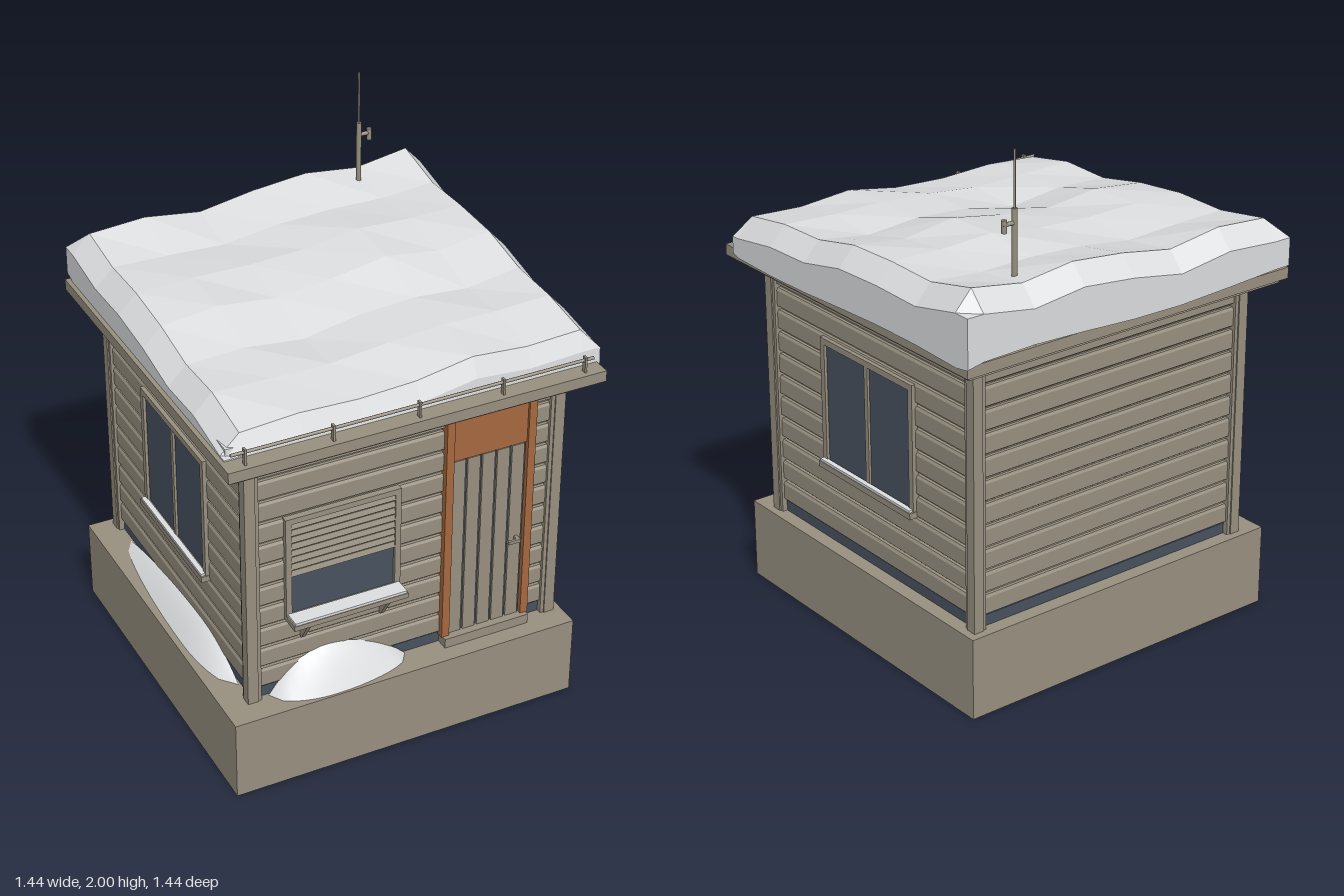
import * as THREE from 'three';

const mat = (name, color) => Object.assign(new THREE.MeshStandardMaterial({ color }), { name });

export function createModel() {
  const timber = mat('weathered timber', 0x989080);
  const orange = mat('orange paint', 0xa5683f);
  const dark = mat('dark glass', 0x485260);
  const snow = mat('snow', 0xdcdee0);
  snow.side = THREE.DoubleSide;

  const model = new THREE.Group();
  model.name = 'snowyCabin';

  const add = (parent, name, geo, material, x = 0, y = 0, z = 0) => {
    const m = new THREE.Mesh(geo, material);
    m.name = name;
    m.position.set(x, y, z);
    parent.add(m);
    return m;
  };
  // Box given by its x, y and z ranges
  const box = (parent, name, material, x0, x1, y0, y1, z0, z1) =>
    add(parent, name, new THREE.BoxGeometry(x1 - x0, y1 - y0, z1 - z0), material,
      (x0 + x1) / 2, (y0 + y1) / 2, (z0 + z1) / 2);
  // Four bars around a rectangle
  const frame = (parent, name, material, x0, x1, y0, y1, t, z0, z1) => {
    box(parent, name, material, x0, x0 + t, y0, y1, z0, z1);
    box(parent, name, material, x1 - t, x1, y0, y1, z0, z1);
    box(parent, name, material, x0 + t, x1 - t, y1 - t, y1, z0, z1);
    box(parent, name, material, x0 + t, x1 - t, y0, y0 + t, z0, z1);
  };

  // Plinth and roof slab
  box(model, 'plinth', timber, -0.715, 0.635, 0, 0.31, -0.635, 0.715);
  box(model, 'roofSlab', timber, -0.722, 0.702, 1.318, 1.36, -0.702, 0.722);
  box(model, 'roofSoffit', timber, -0.70, 0.68, 1.3, 1.32, -0.68, 0.70);

  // House body
  const house = new THREE.Group();
  house.name = 'house';
  house.position.set(-0.01, 0, 0.01);
  model.add(house);
  box(house, 'skirting', dark, -0.59, 0.59, 0.305, 0.352, -0.59, 0.59);
  box(house, 'wallCore', timber, -0.582, 0.582, 0.35, 1.31, -0.582, 0.582);
  for (const sx of [-1, 1]) for (const sz of [-1, 1]) {
    add(house, 'cornerPost', new THREE.BoxGeometry(0.04, 1, 0.04), timber, sx * 0.595, 0.805, sz * 0.595);
    add(house, 'cornerPostTrimX', new THREE.BoxGeometry(0.046, 1, 0.03), timber, sx * 0.584, 0.805, sz * 0.595);
    add(house, 'cornerPostTrimZ', new THREE.BoxGeometry(0.03, 1, 0.046), timber, sx * 0.595, 0.805, sz * 0.584);
  }

  // Horizontal cladding: one bevelled profile run along each wall
  const pitch = 0.0864, rows = 11, length = 1.16;
  const profile = new THREE.Shape();
  profile.moveTo(-0.01, 0.35);
  for (let i = 0; i < rows; i++) {
    const y = 0.35 + i * pitch;
    profile.lineTo(0, y);
    profile.lineTo(0.018, y + 0.012);
    profile.lineTo(0.018, y + 0.072);
    profile.lineTo(0.012, y + 0.082);
    profile.lineTo(0, y + 0.082);
  }
  profile.lineTo(-0.01, 0.35 + rows * pitch);
  const cladding = new THREE.ExtrudeGeometry(profile, { depth: length, bevelEnabled: false });
  cladding.rotateY(-Math.PI / 2).translate(length / 2, 0, 0.582);

  const walls = ['front', 'left', 'back', 'right'].map((side, i) => {
    const wall = new THREE.Group();
    wall.name = side + 'Wall';
    wall.rotation.y = i * Math.PI / 2;
    house.add(wall);
    add(wall, 'cladding', cladding, timber);
    return wall;
  });

  // Side windows
  for (const wall of [walls[1], walls[3]]) {
    box(wall, 'windowGlass', dark, -0.26, 0.26, 0.63, 1.11, 0.596, 0.603);
    frame(wall, 'windowFrame', timber, -0.272, 0.272, 0.615, 1.117, 0.024, 0.59, 0.614);
    box(wall, 'windowMullion', timber, -0.01, 0.01, 0.63, 1.11, 0.59, 0.612);
    box(wall, 'windowSill', timber, -0.275, 0.275, 0.615, 0.638, 0.59, 0.632);
    box(wall, 'sillSnow', snow, -0.268, 0.268, 0.638, 0.647, 0.61, 0.63);
  }

  // Front window with blind and serving shelf
  const front = walls[0];
  box(front, 'windowGlass', dark, -0.45, -0.04, 0.64, 1.03, 0.596, 0.603);
  frame(front, 'windowFrame', timber, -0.465, -0.025, 0.62, 1.04, 0.022, 0.59, 0.616);
  for (let i = 0; i < 8; i++) {
    const slat = add(front, 'blindSlat', new THREE.BoxGeometry(0.396, 0.021, 0.005), timber,
      -0.245, 0.81 + i * 0.028, 0.609);
    slat.rotation.x = -0.35;
  }
  box(front, 'shelf', timber, -0.465, -0.025, 0.62, 0.64, 0.6, 0.68);
  box(front, 'shelfSnow', snow, -0.46, -0.03, 0.64, 0.65, 0.616, 0.678);
  const bracket = new THREE.Shape([[0, 0.53], [0.012, 0.53], [0.06, 0.605], [0.06, 0.62], [0, 0.62]]
    .map(p => new THREE.Vector2(...p)));
  for (const x of [-0.4, -0.092]) {
    const geo = new THREE.ExtrudeGeometry(bracket, { depth: 0.015, bevelEnabled: false });
    geo.rotateY(-Math.PI / 2);
    add(front, 'shelfBracket', geo, timber, x + 0.0075, 0, 0.6);
  }

  // Door
  box(front, 'doorPostLeft', orange, 0.145, 0.175, 0.345, 1.305, 0.58, 0.622);
  box(front, 'doorPostRight', orange, 0.468, 0.498, 0.345, 1.305, 0.58, 0.622);
  box(front, 'doorHead', orange, 0.175, 0.468, 1.28, 1.305, 0.58, 0.622);
  box(front, 'doorTopPanel', orange, 0.175, 0.468, 1.085, 1.28, 0.58, 0.612);
  box(front, 'doorGaps', dark, 0.175, 0.468, 0.35, 1.085, 0.596, 0.603);
  for (let i = 0; i < 5; i++) {
    const x = 0.176 + i * 0.0585;
    box(front, 'doorPlank', timber, x, x + 0.049, 0.35, 1.082, 0.596, 0.612);
  }
  box(front, 'threshold', timber, 0.15, 0.49, 0.31, 0.348, 0.58, 0.64);
  box(front, 'doorHandleStem', timber, 0.432, 0.445, 0.682, 0.695, 0.61, 0.635);
  box(front, 'doorHandle', timber, 0.398, 0.445, 0.682, 0.695, 0.63, 0.64);

  // Roof snow: a height grid whose two outer rings fold down as the rim
  const xs = [-0.705, -0.705, -0.635, -0.42, -0.2, 0.015, 0.23, 0.44, 0.65, 0.715, 0.715];
  const zs = [-0.72, -0.72, -0.655, -0.44, -0.225, -0.01, 0.2, 0.41, 0.62, 0.652, 0.655];
  const byX = [-0.05, -0.04, -0.055, -0.03, -0.005, -0.02, 0];
  const byZ = [1.6, 1.56, 1.575, 1.56, 1.51, 1.515, 1.49];
  const n = xs.length, pos = [], index = [];
  const inner = i => Math.min(Math.max(i - 2, 0), 6);
  for (let j = 0; j < n; j++) for (let i = 0; i < n; i++) {
    const ring = Math.min(i, j, n - 1 - i, n - 1 - j);
    const ridge = byZ[inner(j)] + byX[inner(i)] + 0.008 * Math.sin(inner(i) * 2.3 + inner(j) * 1.7);
    const rim = 1.345 + 0.012 * Math.sin(i * 1.1 + j * 0.9) + (j < 2 ? 0.02 : 0);
    pos.push(xs[i], ring === 0 ? rim : ring === 1 ? ridge - 0.07 : ridge, zs[j]);
    if (i < n - 1 && j < n - 1) {
      const a = j * n + i, b = a + n;
      index.push(a, b, b + 1, a, b + 1, a + 1);
    }
  }
  const roofGeo = new THREE.BufferGeometry();
  roofGeo.setAttribute('position', new THREE.Float32BufferAttribute(pos, 3));
  roofGeo.setIndex(index);
  const flatRoof = roofGeo.toNonIndexed();
  flatRoof.computeVertexNormals();
  add(model, 'roofSnow', flatRoof, snow);
  box(model, 'roofSnowCore', snow, -0.69, 0.69, 1.355, 1.39, -0.69, 0.63);

  // Snow drifts: a swept slope leaning on a wall
  const drift = (parent, name, x0, x1, peak, height, depth) => {
    const p = [], f = [], U = 16, V = 6;
    for (let u = 0; u <= U; u++) for (let v = 0; v <= V; v++) {
      const t = u / U, s = v / V, x = x0 + (x1 - x0) * t;
      const k = x < peak ? (peak - x) / (peak - x0) : (x - peak) / (x1 - peak);
      const h = Math.pow(Math.max(0, Math.cos(k * Math.PI / 2)), 0.85);
      p.push(x, 0.309 + height * h * (1 - Math.pow(s, 1.3)), 0.598 + depth * Math.sqrt(h) * s);
      if (u < U && v < V) {
        const a = u * (V + 1) + v, b = a + V + 1;
        f.push(a, a + 1, b + 1, a, b + 1, b);
      }
    }
    const g = new THREE.BufferGeometry();
    g.setAttribute('position', new THREE.Float32BufferAttribute(p, 3));
    g.setIndex(f);
    g.computeVertexNormals();
    add(parent, name, g, snow);
  };
  drift(front, 'frontDrift', -0.53, 0.01, -0.31, 0.15, 0.1);
  drift(walls[3], 'sideDrift', -0.48, 0.5, 0.2, 0.085, 0.085);

  // Rail along the front eave
  const rod = (name, r, len, x, y, z, alongX) => {
    const g = new THREE.CylinderGeometry(r, r, len, 8);
    if (alongX) g.rotateZ(Math.PI / 2);
    return add(model, name, g, timber, x, y, z);
  };
  rod('eaveRail', 0.006, 1.365, -0.018, 1.406, 0.692, true);
  for (let i = 0; i < 5; i++) {
    const x = -0.65 + i * 0.32;
    box(model, 'railClip', timber, x - 0.004, x + 0.004, 1.355, 1.42, 0.684, 0.702);
  }

  // Roof mast with side arm
  rod('mast', 0.01, 0.3, 0.41, 1.65, -0.575);
  rod('mastAerial', 0.004, 0.21, 0.41, 1.895, -0.575);
  rod('mastArm', 0.008, 0.05, 0.435, 1.75, -0.575, true);
  rod('mastArmTip', 0.01, 0.045, 0.453, 1.745, -0.575);

  return model;
}
